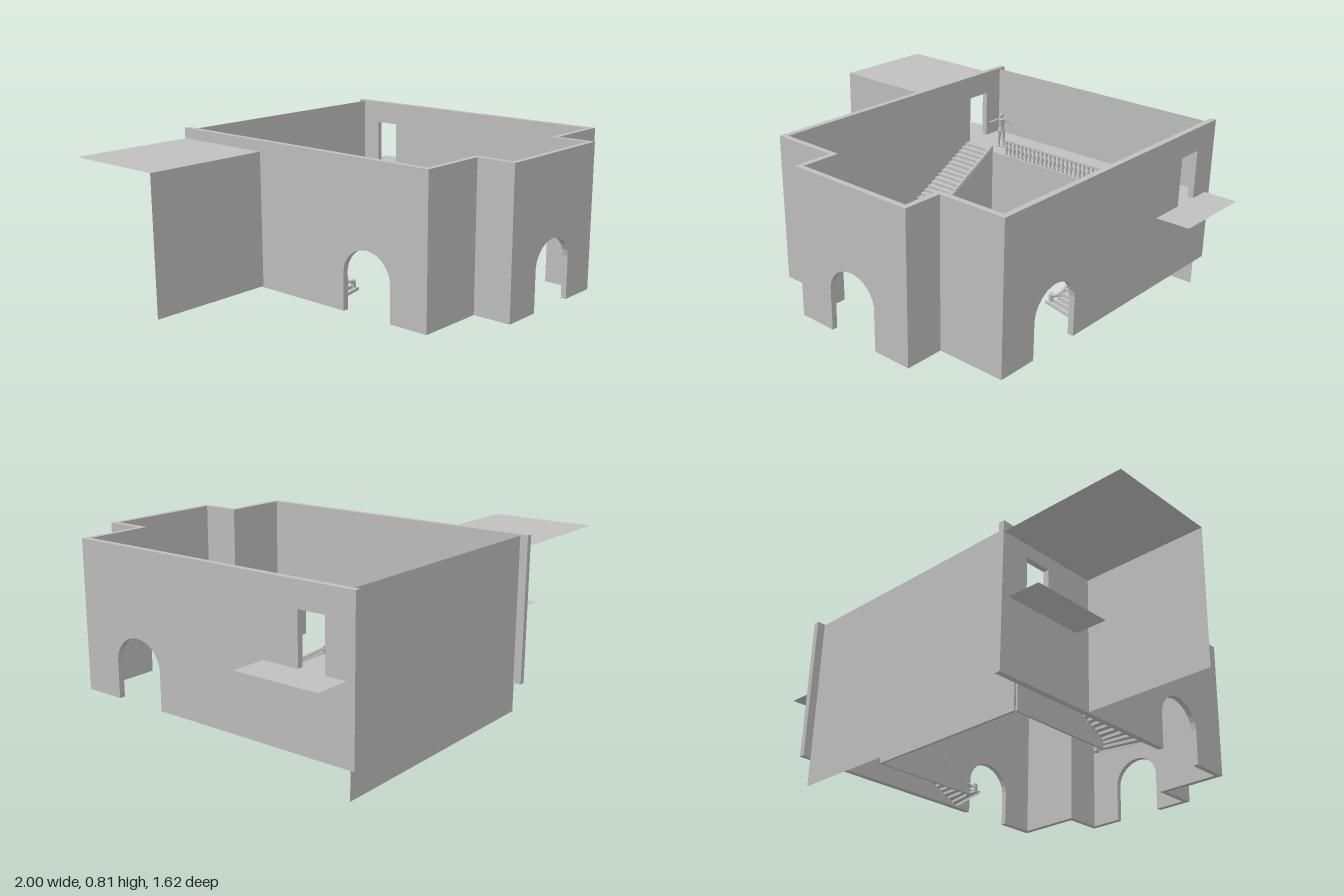
import * as THREE from 'three';

const CX = 0.2175;              // centre line of the hall
const BASE = 0.135, TOP = 0.805, FLOOR = 0.47;

export function createModel() {
  const root = new THREE.Group();
  const stone = new THREE.MeshStandardMaterial({ color: 0xc0c0c0, side: THREE.DoubleSide });
  stone.name = 'grey stone';

  const add = (name, geo, parent = root) => {
    const m = new THREE.Mesh(geo, stone);
    m.name = name;
    parent.add(m);
    return m;
  };
  const box = (name, x0, x1, y0, y1, z0, z1, parent) => add(name,
    new THREE.BoxGeometry(x1 - x0, y1 - y0, z1 - z0)
      .translate((x0 + x1) / 2, (y0 + y1) / 2, (z0 + z1) / 2), parent);
  const floorPlane = (name, x0, x1, y, z0, z1) => add(name,
    new THREE.PlaneGeometry(x1 - x0, z1 - z0).rotateX(-Math.PI / 2)
      .translate((x0 + x1) / 2, y, (z0 + z1) / 2));
  const wallPlane = (name, x0, x1, y0, y1, z) => add(name,
    new THREE.PlaneGeometry(x1 - x0, y1 - y0).rotateY(Math.PI)
      .translate((x0 + x1) / 2, (y0 + y1) / 2, z));

  // Wall outline with an arched doorway cut into its bottom edge
  const archedWall = (u0, u1, a0, a1, spring, apex) => {
    const s = new THREE.Shape(), c = (a0 + a1) / 2, h = (a1 - a0) / 2, r = apex - spring;
    const half = [[1, 0], [0.95, 0.27], [0.83, 0.52], [0.65, 0.74], [0.42, 0.9], [0.2, 0.97]];
    s.moveTo(u0, BASE);
    s.lineTo(a0, BASE);
    for (const [u, v] of half) s.lineTo(c - h * u, spring + r * v);
    s.lineTo(c, apex);
    for (const [u, v] of [...half].reverse()) s.lineTo(c + h * u, spring + r * v);
    s.lineTo(a1, BASE);
    s.lineTo(u1, BASE);
    s.lineTo(u1, TOP);
    s.lineTo(u0, TOP);
    s.closePath();
    return s;
  };
  const extrude = (shape, depth) => new THREE.ExtrudeGeometry(shape, { depth, bevelEnabled: false });

  // Side walls: arch near the front, window opening at landing level
  for (const [name, x] of [['rightWall', -0.38], ['leftWall', 0.84]]) {
    const s = archedWall(-0.815, 0.625, 0.18, 0.435, 0.31, 0.423);
    s.holes.push(new THREE.Path([[-0.68, FLOOR], [-0.555, FLOOR], [-0.555, 0.695], [-0.68, 0.695]]
      .map(p => new THREE.Vector2(...p))));
    add(name, extrude(s, 0.027).rotateY(-Math.PI / 2).translate(x, 0, 0));
  }

  // Front walls and projecting bay
  box('frontWallRight', -0.38, -0.065, BASE, TOP, 0.6, 0.625);
  box('frontWallLeft', 0.5, 0.813, BASE, TOP, 0.6, 0.625);
  box('baySideRight', -0.09, -0.065, BASE, TOP, 0.625, 0.78);
  box('baySideLeft', 0.5, 0.525, BASE, TOP, 0.625, 0.78);
  add('bayFront', extrude(archedWall(-0.09, 0.525, 0.09, 0.342, 0.33, 0.437), 0.025).translate(0, 0, 0.78));

  // Thin back wall in two storeys, landing floor and outer platforms
  wallPlane('backWallUpper', -0.385, 0.815, FLOOR, 0.8, -0.778);
  wallPlane('backWallLower', -0.385, 0.815, 0, FLOOR, -0.778);
  floorPlane('landing', -0.385, 0.815, FLOOR, -0.778, -0.52);
  floorPlane('leftPlatform', 0.815, 1, FLOOR, -0.778, -0.385);
  floorPlane('rightPlatform', -0.565, -0.385, FLOOR, -0.778, -0.385);
  box('landingFrontWall', -0.2, 0.64, BASE, FLOOR, -0.53, -0.518);

  // Side annex: flat roof and front wall only
  floorPlane('annexRoof', -1, -0.405, 0.755, -0.81, -0.31);
  wallPlane('annexFront', -1, -0.405, 0.14, 0.755, -0.31);

  // One staircase on the right side; the second is its mirror image
  const buildStair = () => {
    const g = new THREE.Group();
    g.name = 'staircase';
    const edges = [];           // outer x, outer z, inner x, inner z of each nosing
    for (let i = 0; i <= 21; i++) {
      const z = -0.52 + i * 0.025;
      edges.push([-0.38, z, -0.205, z]);
    }
    edges.push([-0.38, 0.035, -0.2, 0.018], [-0.38, 0.065, -0.185, 0.028], [-0.38, 0.09, -0.152, 0.04]);
    const pos = [], rise = (FLOOR - BASE) / edges.length;
    const quad = (a, b, c, d) => pos.push(...a, ...b, ...c, ...a, ...c, ...d);
    edges.forEach(([ox, oz, ix, iz], i) => {
      const y = FLOOR - i * rise, y2 = y - rise;
      quad([ox, y2, oz], [ix, y2, iz], [ix, y, iz], [ox, y, oz]);
      const n = edges[i + 1];
      if (n) quad([n[0], y2, n[1]], [n[2], y2, n[3]], [ix, y2, iz], [ox, y2, oz]);
    });
    const steps = new THREE.BufferGeometry();
    steps.setAttribute('position', new THREE.Float32BufferAttribute(pos, 3));
    steps.computeVertexNormals();
    add('steps', steps, g);

    // Solid side wall below a low curb
    const side = new THREE.Shape([[-0.52, BASE], [0.015, BASE], [0.015, 0.18], [-0.52, 0.49]]
      .map(p => new THREE.Vector2(...p)));
    add('stairSideWall', extrude(side, 0.012).rotateY(-Math.PI / 2).translate(-0.197, 0, 0), g);

    // Handrail curling inward at the foot, on a short newel
    const rail = new THREE.CatmullRomCurve3([
      [-0.203, 0.495, -0.52], [-0.203, 0.34, -0.25], [-0.203, 0.19, -0.01],
      [-0.192, 0.178, 0.02], [-0.17, 0.175, 0.024], [-0.162, 0.175, 0.012],
    ].map(p => new THREE.Vector3(...p)));
    add('handrail', new THREE.TubeGeometry(rail, 40, 0.008, 6), g);
    add('newel', new THREE.CylinderGeometry(0.01, 0.012, 0.045, 10).translate(-0.166, BASE + 0.022, 0.018), g);
    return g;
  };
  const rightStair = buildStair();
  rightStair.name = 'rightStaircase';
  const leftStair = buildStair();
  leftStair.name = 'leftStaircase';
  leftStair.scale.x = -1;
  leftStair.position.x = 2 * CX;
  root.add(rightStair, leftStair);

  // Balustrade along the landing
  const balustrade = new THREE.Group();
  balustrade.name = 'balustrade';
  root.add(balustrade);
  const turned = [[0.007, 0], [0.007, 0.006], [0.004, 0.012], [0.009, 0.028], [0.004, 0.05], [0.007, 0.06], [0.007, 0.07]]
    .map(p => new THREE.Vector2(...p));
  for (let i = 0; i < 28; i++) {
    add('baluster', new THREE.LatheGeometry(turned, 8).translate(-0.118 + i * 0.0246, FLOOR, -0.53), balustrade);
  }
  box('topRail', -0.125, 0.553, FLOOR + 0.07, FLOOR + 0.078, -0.537, -0.522, balustrade);

  // Standing figure on the landing, arms held out
  const figure = new THREE.Group();
  figure.name = 'figure';
  figure.position.set(-0.21, 0.473, -0.598);
  figure.rotation.y = 0.42;
  root.add(figure);
  const limb = (name, a, b, ra, rb) => {
    const p = new THREE.Vector3(...a), q = new THREE.Vector3(...b), d = q.clone().sub(p);
    const m = add(name, new THREE.CylinderGeometry(rb, ra, d.length(), 8), figure);
    m.position.copy(p).add(q).multiplyScalar(0.5);
    m.quaternion.setFromUnitVectors(new THREE.Vector3(0, 1, 0), d.normalize());
  };
  for (const s of [-1, 1]) {
    limb('shin', [s * 0.012, 0.006, 0], [s * 0.011, 0.048, 0], 0.004, 0.007);
    limb('thigh', [s * 0.011, 0.048, 0], [s * 0.009, 0.09, 0], 0.007, 0.01);
    limb('upperArm', [s * 0.02, 0.14, 0], [s * 0.04, 0.128, 0], 0.006, 0.005);
    limb('forearm', [s * 0.04, 0.128, 0], [s * 0.064, 0.12, 0], 0.005, 0.003);
    box('foot', s * 0.012 - 0.005, s * 0.012 + 0.005, 0, 0.008, -0.007, 0.015, figure);
  }
  limb('hips', [0, 0.084, 0], [0, 0.105, 0], 0.016, 0.012);
  limb('chest', [0, 0.105, 0], [0, 0.145, 0], 0.012, 0.018);
  limb('neck', [0, 0.143, 0], [0, 0.155, 0], 0.005, 0.005);
  add('head', new THREE.SphereGeometry(0.011, 12, 8).scale(0.9, 1.15, 1).translate(0, 0.163, 0), figure);

  return root;
}
